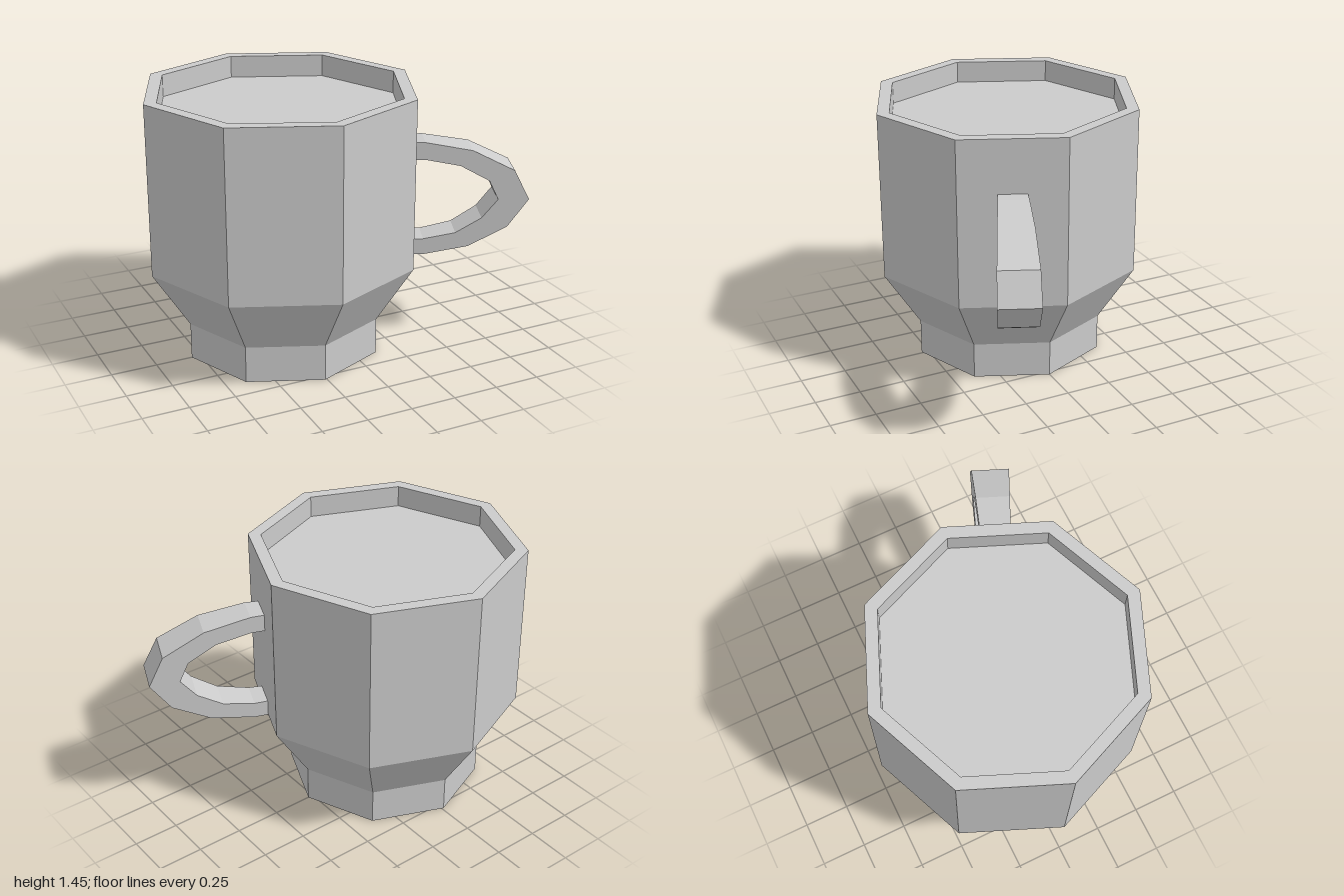
import * as THREE from 'three';

const CENTRE_X = -0.26; // axis of the cup

export function createModel() {
  const group = new THREE.Group();
  const material = new THREE.MeshStandardMaterial({ color: 0xcccccc, flatShading: true });

  // Octagonal cup: foot, flare, wall, rim and raised inner surface
  const profile = [
    [0, 0], [0.54, 0], [0.54, 0.2], [0.74, 0.52], [0.74, 1.45],
    [0.67, 1.45], [0.67, 1.33], [0, 1.33],
  ].map(([r, y]) => new THREE.Vector2(r, y));
  const cup = new THREE.Mesh(new THREE.LatheGeometry(profile, 8), material);
  cup.name = 'cup';
  cup.position.x = CENTRE_X;
  group.add(cup);

  // Handle outline: distance from the cup axis, height
  const outer = [
    [0.684, 1.155], [0.758, 1.155], [1.009, 1.11], [1.234, 0.998], [1.316, 0.836],
    [1.207, 0.68], [1.001, 0.567], [0.758, 0.52], [0.684, 0.52],
  ];
  const inner = [
    [0.684, 0.61], [0.758, 0.61], [0.93, 0.645], [1.068, 0.73], [1.152, 0.835],
    [1.102, 0.94], [0.946, 1.025], [0.758, 1.06], [0.684, 1.06],
  ];
  const shape = new THREE.Shape([...outer, ...inner].map(([u, y]) => new THREE.Vector2(u, y)));
  const geometry = new THREE.ExtrudeGeometry(shape, { depth: 2, bevelEnabled: false });
  geometry.translate(0, 0, -1);

  // The handle widens away from the cup
  const pos = geometry.attributes.position;
  for (let i = 0; i < pos.count; i++) {
    const halfWidth = 0.076 + 0.051 * (pos.getX(i) - 0.684);
    pos.setZ(i, pos.getZ(i) * halfWidth);
  }
  geometry.computeVertexNormals();

  // Centred on one of the eight flat sides
  const handle = new THREE.Mesh(geometry, material);
  handle.name = 'handle';
  handle.position.x = CENTRE_X;
  handle.rotation.y = -Math.PI / 8;
  group.add(handle);

  return group;
}
